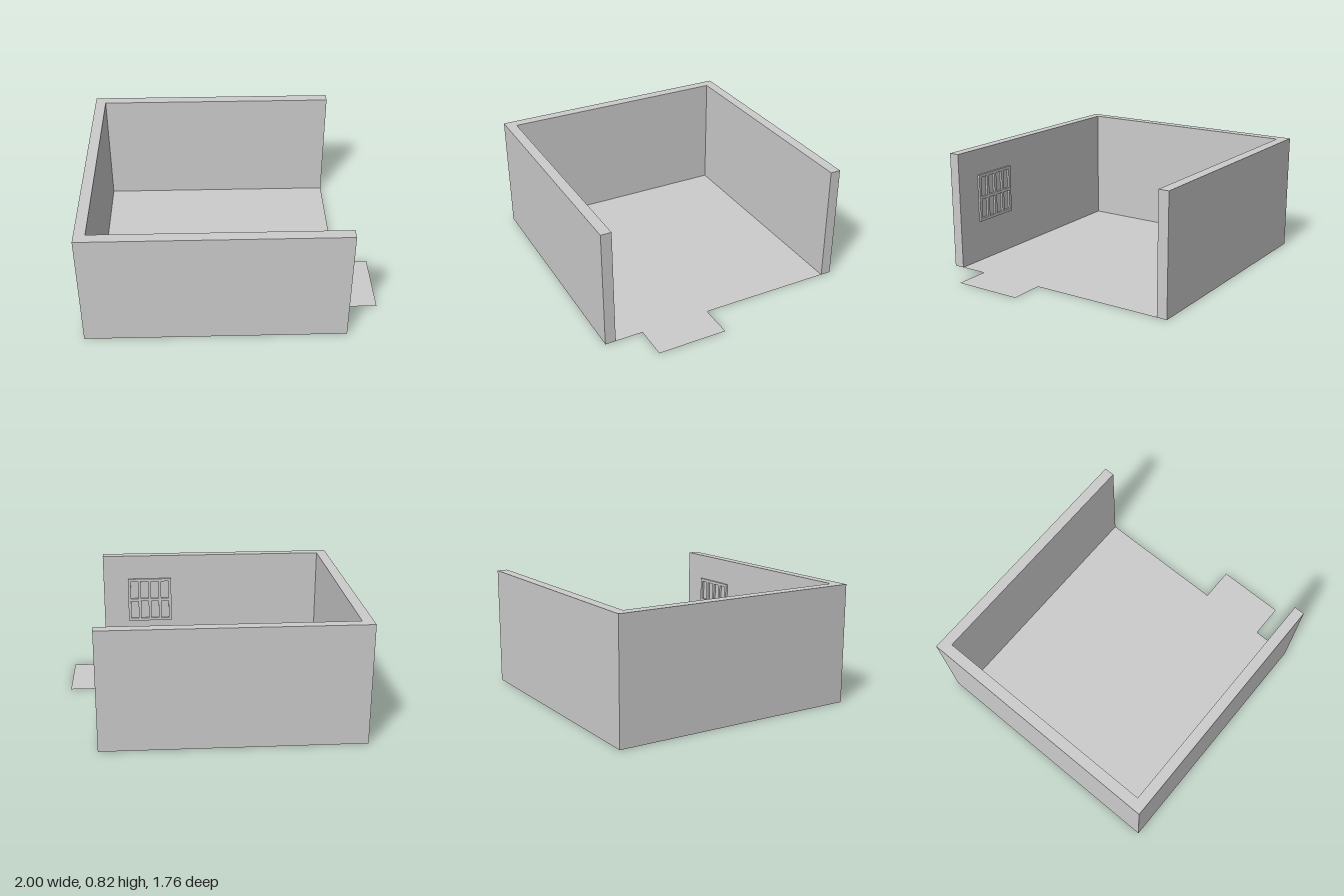
import * as THREE from 'three';

const material = new THREE.MeshStandardMaterial({ color: 0xcccccc, flatShading: true, side: THREE.DoubleSide });

const HEIGHT = 0.825;
const LEFT = -1, OPEN = 0.76, INNER_LEFT = -0.925;
const OUTER_Z = 0.88, INNER_Z = 0.807;

function addMesh(group, name, geometry) {
  const mesh = new THREE.Mesh(geometry, material);
  mesh.name = name;
  group.add(mesh);
  return mesh;
}

const outline = (points) => new THREE.Shape(points.map(([x, y]) => new THREE.Vector2(x, y)));

// Drops the faces lying on the ground, leaving the hollow wall shell open below
function removeUnderside(geometry) {
  const p = geometry.attributes.position;
  const kept = [];
  for (let i = 0; i < p.count; i += 3) {
    const onGround = [0, 1, 2].every((k) => Math.abs(p.getY(i + k)) < 1e-5);
    if (onGround) continue;
    for (let k = 0; k < 3; k++) kept.push(p.getX(i + k), p.getY(i + k), p.getZ(i + k));
  }
  const result = new THREE.BufferGeometry();
  result.setAttribute('position', new THREE.Float32BufferAttribute(kept, 3));
  result.computeVertexNormals();
  return result;
}

// U-shaped walls, open on the +x side
function wallGeometry() {
  const shape = outline([
    [LEFT, -OUTER_Z], [OPEN, -OUTER_Z], [OPEN, -INNER_Z], [INNER_LEFT, -INNER_Z],
    [INNER_LEFT, INNER_Z], [OPEN, INNER_Z], [OPEN, OUTER_Z], [LEFT, OUTER_Z],
  ]);
  const geometry = new THREE.ExtrudeGeometry(shape, { depth: HEIGHT, bevelEnabled: false });
  geometry.rotateX(-Math.PI / 2);
  return removeUnderside(geometry);
}

// Flat floor with a doorstep tongue; shape y becomes -z
function floorGeometry() {
  const shape = outline([
    [INNER_LEFT, -INNER_Z], [OPEN, -INNER_Z], [OPEN, -0.615], [1, -0.615],
    [1, -0.13], [OPEN, -0.13], [OPEN, INNER_Z], [INNER_LEFT, INNER_Z],
  ]);
  return new THREE.ShapeGeometry(shape).rotateX(-Math.PI / 2);
}

// Window lattice of four by two panes
function windowGeometry(width, height, depth) {
  const columns = 4, rows = 2, bar = 0.021;
  const w = (width - bar * (columns + 1)) / columns;
  const h = (height - bar * (rows + 1)) / rows;
  const shape = outline([[0, 0], [width, 0], [width, height], [0, height]]);
  for (let c = 0; c < columns; c++) {
    for (let r = 0; r < rows; r++) {
      const x = bar + c * (w + bar), y = bar + r * (h + bar);
      shape.holes.push(outline([[x, y], [x, y + h], [x + w, y + h], [x + w, y]]));
    }
  }
  return new THREE.ExtrudeGeometry(shape, { depth, bevelEnabled: false });
}

export function createModel() {
  const model = new THREE.Group();
  model.name = 'room';
  addMesh(model, 'walls', wallGeometry());
  addMesh(model, 'floor', floorGeometry());
  const frame = addMesh(model, 'windowFrame', windowGeometry(0.34, 0.345, 0.015));
  frame.position.set(0.23, 0.295, INNER_Z - 0.015);
  return model;
}
